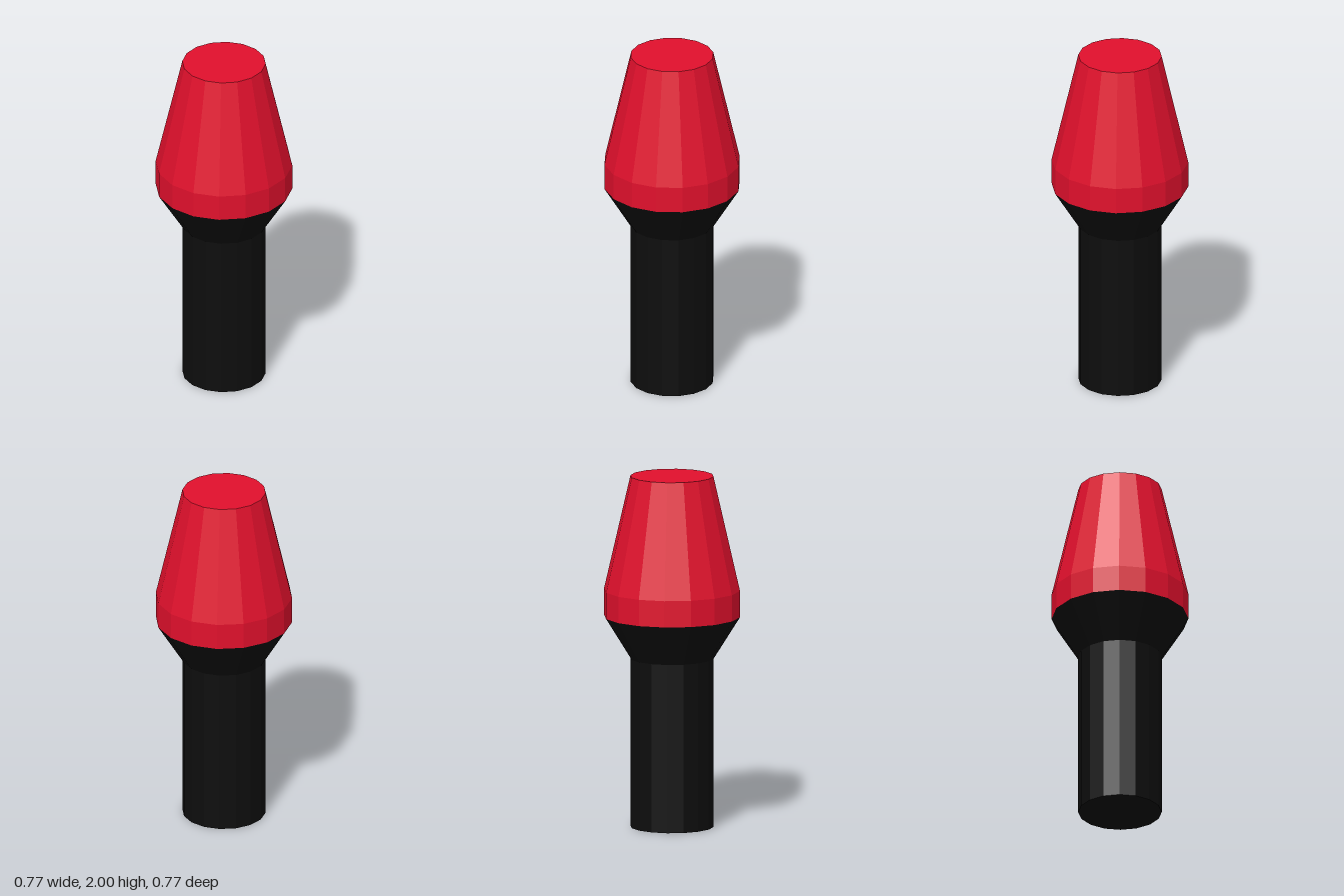
import * as THREE from 'three';

const SIDES = 16;
const R_SLIM = 0.235;
const R_WIDE = 0.385;

export function createModel() {
  const model = new THREE.Group();
  model.name = 'taperedHeadWithHandle';

  const black = new THREE.MeshStandardMaterial({ color: 0x0d0d0d, flatShading: true });
  const red = new THREE.MeshStandardMaterial({ color: 0xe0102c, flatShading: true });

  // One faceted ring section between two heights
  const section = (name, material, y0, y1, r0, r1) => {
    const geometry = new THREE.CylinderGeometry(r1, r0, y1 - y0, SIDES, 1, true);
    geometry.translate(0, (y0 + y1) / 2, 0);
    const mesh = new THREE.Mesh(geometry, material);
    mesh.name = name;
    model.add(mesh);
  };

  // Flat end disc, facing up (dir = 1) or down (dir = -1)
  const cap = (name, material, y, r, dir) => {
    const geometry = new THREE.CircleGeometry(r, SIDES);
    geometry.rotateX(-dir * Math.PI / 2);
    geometry.translate(0, y, 0);
    const mesh = new THREE.Mesh(geometry, material);
    mesh.name = name;
    model.add(mesh);
  };

  // Handle and flared collar
  cap('handleBase', black, 0, R_SLIM, -1);
  section('handle', black, 0, 0.96, R_SLIM, R_SLIM);
  section('collar', black, 0.96, 1.2, R_SLIM, R_WIDE);

  // Head: straight band, long taper and flat top
  section('headBand', red, 1.2, 1.35, R_WIDE, R_WIDE);
  section('headTaper', red, 1.35, 2, R_WIDE, R_SLIM);
  cap('headTop', red, 2, R_SLIM, 1);

  return model;
}
